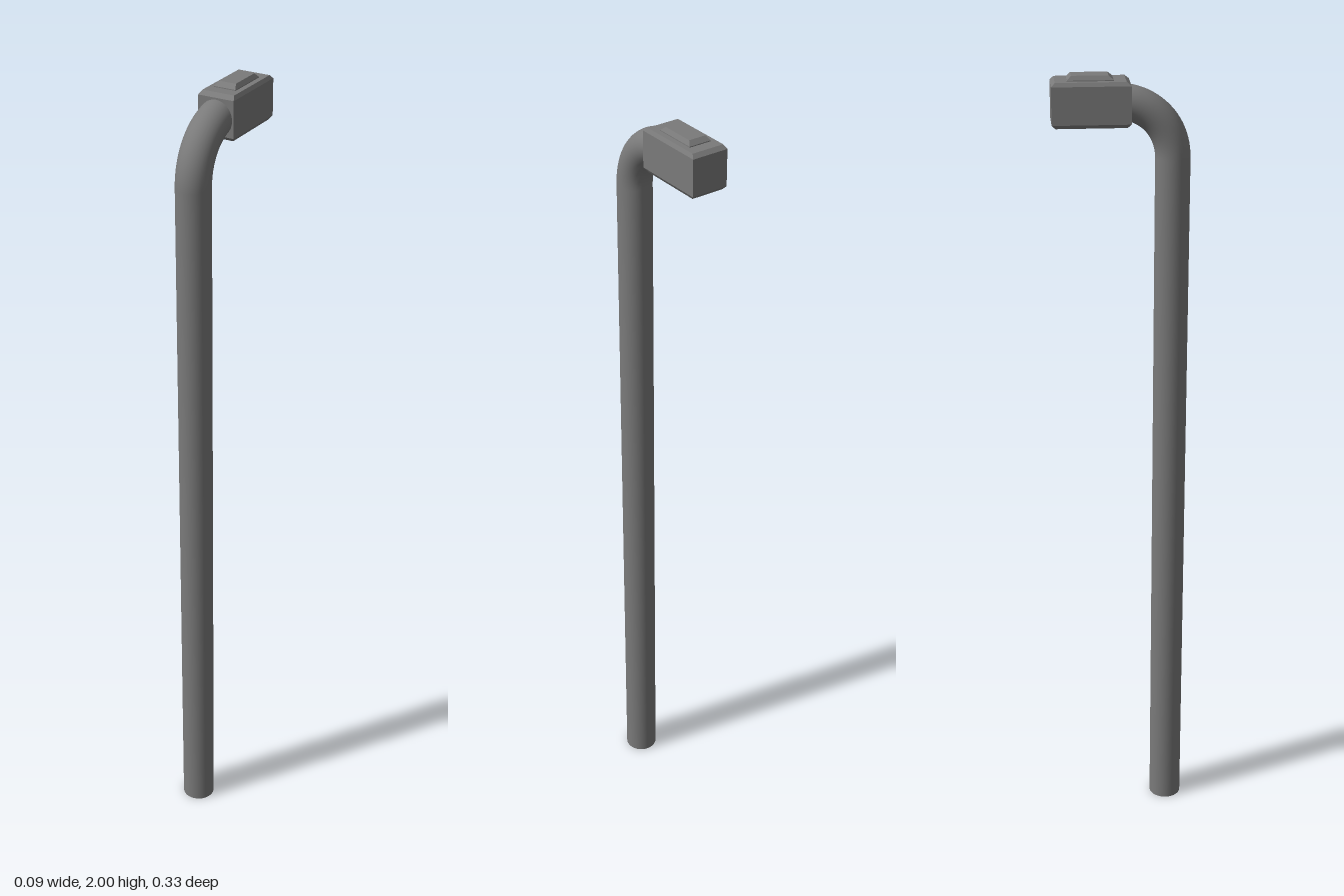
import * as THREE from 'three';

const smoothMetal = new THREE.MeshStandardMaterial({ color: 0x7a7a7a, side: THREE.DoubleSide });
const flatMetal = smoothMetal.clone();
flatMetal.flatShading = true;
const lensMaterial = new THREE.MeshStandardMaterial({ color: 0xffffff });

// Closed solid through stacked rectangles [y, halfWidth, zBack, zFront], listed bottom to top
function loftRectangles(sections) {
  const positions = [];
  const index = [];
  for (const [y, w, back, front] of sections) {
    positions.push(-w, y, front, w, y, front, w, y, back, -w, y, back);
  }
  for (let s = 0; s < sections.length - 1; s++) {
    for (let i = 0; i < 4; i++) {
      const a = s * 4 + i, b = s * 4 + (i + 1) % 4;
      index.push(a, b, b + 4, a, b + 4, a + 4);
    }
  }
  const t = (sections.length - 1) * 4;
  index.push(0, 2, 1, 0, 3, 2, t, t + 1, t + 2, t, t + 2, t + 3);
  const geometry = new THREE.BufferGeometry();
  geometry.setAttribute('position', new THREE.Float32BufferAttribute(positions, 3));
  geometry.setIndex(index);
  const flat = geometry.toNonIndexed();
  flat.computeVertexNormals();
  return flat;
}

export function createModel() {
  const group = new THREE.Group();
  const add = (name, geometry, material) => {
    const mesh = new THREE.Mesh(geometry, material);
    mesh.name = name;
    group.add(mesh);
    return mesh;
  };

  const radius = 0.042, poleZ = 0.122, bendStart = 1.8;

  // Upright pole, closed at the foot
  add('pole', new THREE.CylinderGeometry(radius, radius, bendStart, 32), smoothMetal)
    .position.set(0, bendStart / 2, poleZ);

  // Quarter bend carrying the pole into the end of the head
  const bend = new THREE.CubicBezierCurve3(
    new THREE.Vector3(0, bendStart, poleZ),
    new THREE.Vector3(0, 1.875, poleZ),
    new THREE.Vector3(0, 1.925, 0.07),
    new THREE.Vector3(0, 1.934, 0.01)
  );
  add('bend', new THREE.TubeGeometry(bend, 20, radius, 32), smoothMetal);

  // Lamp head with bevelled top and bottom edges
  add('lampHead', loftRectangles([
    [1.882, 0.04, -0.155, 0.012],
    [1.891, 0.046, -0.164, 0.021],
    [1.979, 0.046, -0.164, 0.021],
    [1.988, 0.041, -0.155, 0.01]
  ]), flatMetal);

  // Pale light panel set into the underside
  add('lens', new THREE.BoxGeometry(0.066, 0.004, 0.15), lensMaterial)
    .position.set(0, 1.883, -0.072);

  // Raised cover on top of the head
  add('topCover', loftRectangles([
    [1.985, 0.028, -0.127, -0.019],
    [1.99, 0.028, -0.127, -0.019],
    [2.0, 0.022, -0.117, -0.031]
  ]), flatMetal);

  return group;
}
